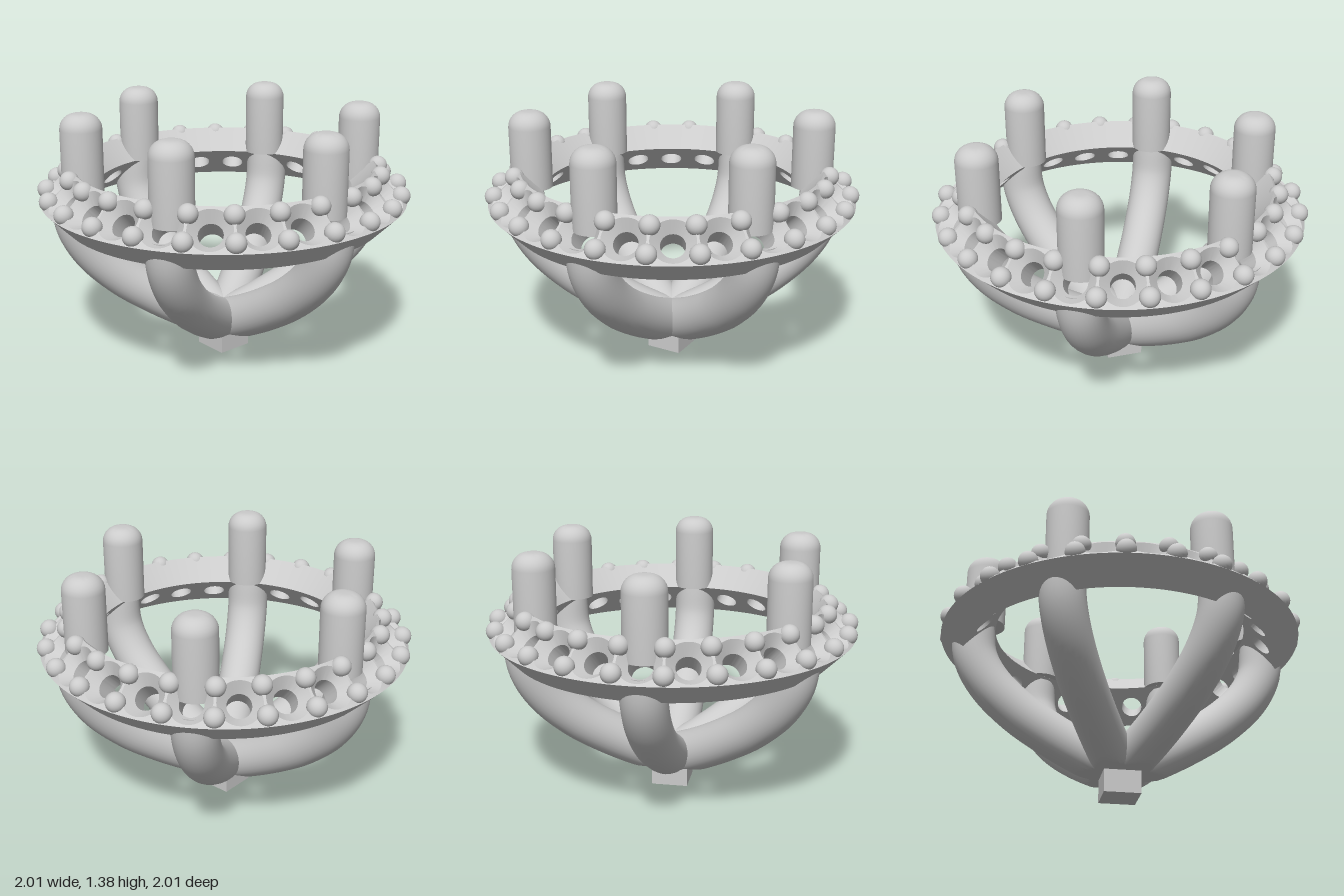
import * as THREE from 'three';
import { mergeGeometries, mergeVertices, toCreasedNormals } from 'three/addons/utils/BufferGeometryUtils.js';

const material = new THREE.MeshStandardMaterial({ color: 0xcccccc });
const S = Math.SQRT1_2;
const SEATS = 24, STEP = (Math.PI * 2) / SEATS, LOOP = 48;
// Halo section: a rectangle tilted 45 degrees
const FACE_R = 0.91, FACE_Y = 0.99, HALF = 0.127, THICK = 0.17;

function add(parent, name, geometry) {
  const mesh = new THREE.Mesh(geometry, material);
  mesh.name = name;
  parent.add(mesh);
  return mesh;
}

// One sector of the halo: top face, conical seat, through hole and underside
function seatSector(index) {
  const rings = [
    { depth: 0 }, { depth: 0, radius: 0.113 }, { depth: 0.057, radius: 0.062 },
    { depth: THICK, radius: 0.062 }, { depth: THICK },
  ];
  const positions = [], indices = [];
  rings.forEach(({ depth, radius }, k) => {
    for (let i = 0; i < LOOP; i++) {
      const t = (i / LOOP) * Math.PI * 2;
      const c = -Math.cos(t), s = Math.sin(t);
      const m = Math.max(Math.abs(c), Math.abs(s));
      const v = radius ? s * radius : (s / m) * HALF;
      const r = FACE_R - (v + depth) * S;
      const turn = radius ? Math.atan2(c * radius, r) : ((c / m) * STEP) / 2;
      const a = index * STEP + turn;
      positions.push(r * Math.cos(a), FACE_Y + (v - depth) * S, r * Math.sin(a));
      if (k < rings.length - 1) {
        const j = (i + 1) % LOOP, o = k * LOOP, n = o + LOOP;
        indices.push(o + i, o + j, n + j, o + i, n + j, n + i);
      }
    }
  });
  const geometry = new THREE.BufferGeometry();
  geometry.setAttribute('position', new THREE.Float32BufferAttribute(positions, 3));
  geometry.setIndex(indices);
  return geometry;
}

function lathe(points, segments) {
  return new THREE.LatheGeometry(points.map(([r, y]) => new THREE.Vector2(r, y)), segments);
}

// Curved leg, cut flat where it reaches the base
function legGeometry() {
  const path = new THREE.CatmullRomCurve3([
    [0, 0.15], [0.2, 0.24], [0.39, 0.345], [0.56, 0.46], [0.715, 0.61], [0.8, 0.76], [0.825, 0.93],
  ].map(([x, y]) => new THREE.Vector3(x, y, 0)));
  const geometry = new THREE.TubeGeometry(path, 40, 0.12, 32);
  const p = geometry.attributes.position;
  for (let i = 0; i < p.count; i++) p.setY(i, Math.max(p.getY(i), 0.125));
  geometry.deleteAttribute('normal');
  geometry.deleteAttribute('uv');
  return toCreasedNormals(mergeVertices(geometry), 0.6);
}

// Upright post with a rounded tip
function postGeometry() {
  const radius = 0.113, fillet = 0.085, top = 1.38;
  const points = [[0, 0.96], [radius, 0.96], [radius, 0.96]];
  for (let i = 0; i <= 8; i++) {
    const t = (i / 8) * Math.PI / 2;
    points.push([radius - fillet + fillet * Math.cos(t), top - fillet + fillet * Math.sin(t)]);
  }
  points.push([0, top]);
  return toCreasedNormals(lathe(points, 40), 0.6);
}

// Small bead on a short stem, leaning outward with the halo face
function beadGeometry() {
  const ball = new THREE.SphereGeometry(0.052, 20, 14);
  const stem = new THREE.CylinderGeometry(0.038, 0.038, 0.1, 16).translate(0, -0.05, 0);
  return mergeGeometries([ball, stem]).rotateZ(-Math.PI / 4);
}

export function createModel() {
  const model = new THREE.Group();
  model.name = 'ringHead';

  // Base peg
  add(model, 'basePeg', new THREE.BoxGeometry(0.2, 0.16, 0.2)).position.y = 0.08;

  // Halo with pierced seats and its two plain bevelled walls
  const halo = new THREE.Group();
  halo.name = 'halo';
  model.add(halo);
  const sectors = Array.from({ length: SEATS }, (_, i) => seatSector(i));
  add(halo, 'piercedSeats', toCreasedNormals(mergeVertices(mergeGeometries(sectors)), 0.6));
  const a = HALF * S, d = THICK * S;
  add(halo, 'outerBevel', lathe([
    [FACE_R + a - d, FACE_Y - a - d], [FACE_R + a, FACE_Y - a]], 144));
  add(halo, 'innerBevel', lathe([
    [FACE_R - a, FACE_Y + a], [FACE_R - a - d, FACE_Y + a - d]], 144));

  // Beads in pairs between the seats
  const bead = beadGeometry();
  for (let i = 0; i < SEATS; i++) {
    const pair = new THREE.Group();
    pair.name = 'beadPair';
    pair.rotation.y = (i + 0.5) * STEP;
    add(pair, 'outerBead', bead).position.set(0.963, 0.942, 0);
    add(pair, 'innerBead', bead).position.set(0.85, 1.046, 0);
    model.add(pair);
  }

  // Six legs, each with a post above the halo
  const leg = legGeometry(), post = postGeometry();
  for (let i = 0; i < 6; i++) {
    const arm = new THREE.Group();
    arm.name = 'arm';
    arm.rotation.y = (i * Math.PI) / 3;
    add(arm, 'leg', leg);
    add(arm, 'post', post).position.x = 0.765;
    model.add(arm);
  }
  return model;
}
